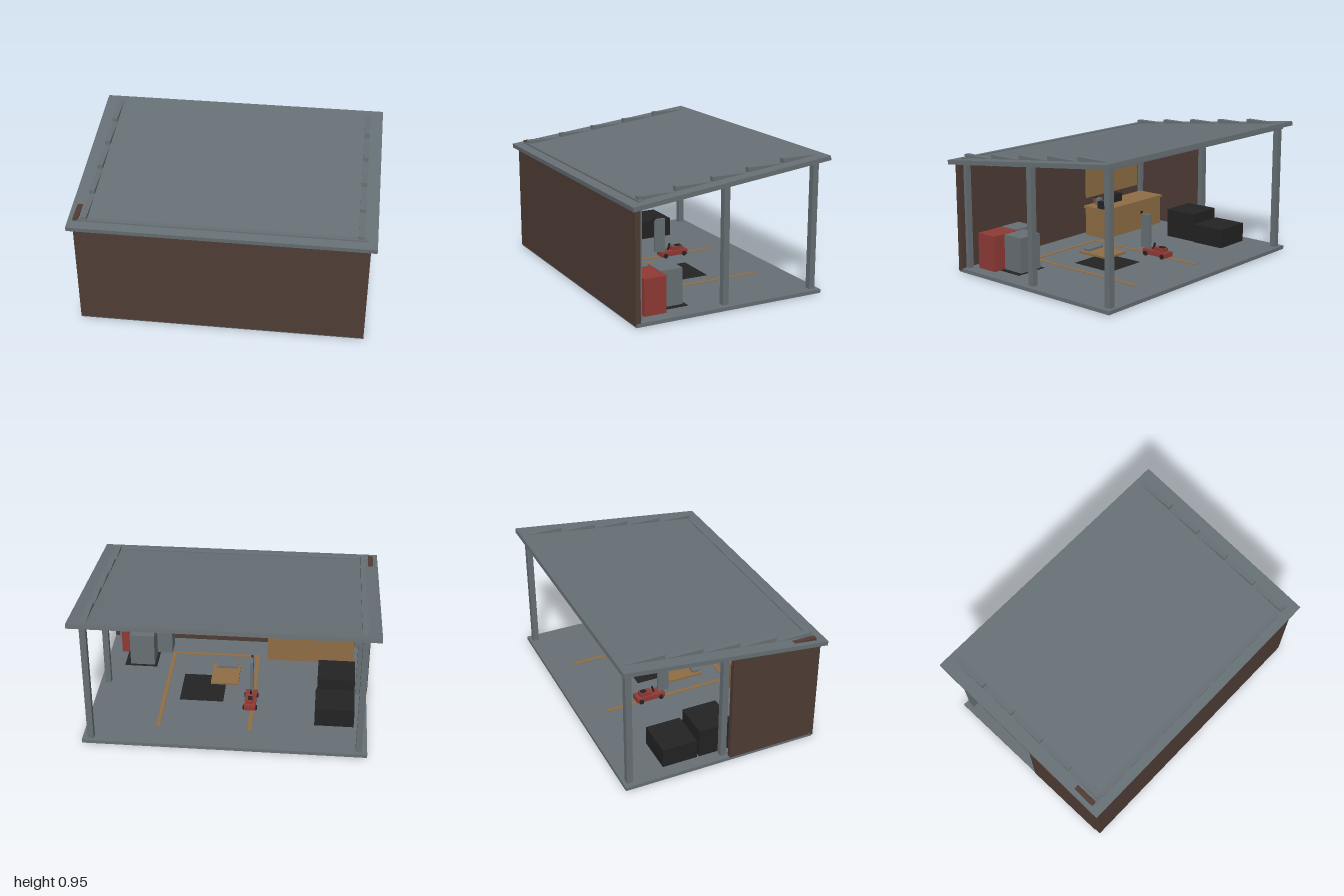
import * as THREE from 'three';

const paint = (name, color) => Object.assign(new THREE.MeshStandardMaterial({ color }), { name });

export function createModel() {
  const grey = paint('steel grey', 0x677075);
  const brown = paint('wall brown', 0x4f3c35);
  const red = paint('workshop red', 0x903a35);
  const tan = paint('timber tan', 0x8f6e45);
  const black = paint('rubber black', 0x232324);
  const model = new THREE.Group();
  model.name = 'openWorkshopShed';

  const group = (name) => {
    const g = new THREE.Group();
    g.name = name;
    model.add(g);
    return g;
  };
  const add = (parent, name, geometry, material) => {
    const mesh = new THREE.Mesh(geometry, material);
    mesh.name = name;
    parent.add(mesh);
    return mesh;
  };
  // Box given by its limits on each axis
  const box = (parent, name, material, [x0, x1], [y0, y1], [z0, z1]) => {
    const m = add(parent, name, new THREE.BoxGeometry(x1 - x0, y1 - y0, z1 - z0), material);
    m.position.set((x0 + x1) / 2, (y0 + y1) / 2, (z0 + z1) / 2);
    return m;
  };

  // Floor and walls
  const shell = group('shell');
  box(shell, 'floorSlab', grey, [-0.96, 0.96], [0.005, 0.03], [-0.695, 0.675]);
  box(shell, 'frontWall', brown, [-0.96, 0.96], [0.015, 0.765], [0.645, 0.68]);
  box(shell, 'sideWall', brown, [-0.967, -0.932], [0.03, 0.812], [0.047, 0.64]);
  box(shell, 'floorDrain', black, [-0.6, -0.53], [0, 0.01], [0.065, 0.08]);

  // Posts and stepped rafters, mirrored on both sides
  const frame = group('frame');
  for (const s of [-1, 1]) {
    for (const [z, w, top] of [[0.63, 0.026, 0.77], [0.018, 0.042, 0.85], [-0.65, 0.042, 0.91]]) {
      box(frame, 'post', grey, [s * 0.903 - 0.021, s * 0.903 + 0.021], [0.03, top], [z - w / 2, z + w / 2]);
    }
    for (let i = 0; i < 5; i++) {
      const z = 0.505 - i * 0.259;
      const y = 0.799 + i * 0.0302;
      box(frame, 'rafterStep', grey, [s * 0.895 - 0.019, s * 0.895 + 0.019], [y - 0.024, y + 0.024], [z - 0.131, z + 0.131]);
    }
  }
  box(frame, 'frontBeam', grey, [-0.94, 0.94], [0.768, 0.803], [0.612, 0.645]);
  box(frame, 'backBeam', grey, [-0.94, 0.94], [0.897, 0.93], [-0.67, -0.63]);

  // Sloping roof
  const roof = add(group('roof'), 'roofSlab', new THREE.BoxGeometry(2, 0.03, 1.43), grey);
  roof.position.y = 0.852;
  roof.rotation.x = 0.114;

  // Ceiling lamp
  const lamp = group('ceilingLamp');
  box(lamp, 'lampHousing', grey, [-0.03, 0.35], [0.815, 0.85], [-0.03, -0.01]);
  box(lamp, 'lampTube', grey, [-0.02, 0.34], [0.805, 0.816], [-0.026, -0.014]);

  // Bay outline and mats on the floor
  const bay = group('workBay');
  for (const x of [-0.16, 0.47]) box(bay, 'bayLine', tan, [x - 0.014, x + 0.014], [0.03, 0.034], [-0.5, 0.45]);
  box(bay, 'bayEndLine', tan, [-0.146, 0.456], [0.03, 0.034], [0.422, 0.45]);
  box(bay, 'floorMat', black, [0.05, 0.36], [0.03, 0.032], [-0.17, 0.155]);
  box(bay, 'cabinetMat', black, [0.58, 0.82], [0.03, 0.032], [0.235, 0.44]);

  // Timber platform with a steel block
  const platform = group('platform');
  box(platform, 'platformBoard', tan, [-0.04, 0.16], [0.03, 0.046], [0.04, 0.3]);
  box(platform, 'platformBlock', grey, [-0.02, 0.13], [0.046, 0.062], [0.235, 0.29]);

  // Wheeled lifting trolley
  const trolley = group('trolley');
  box(trolley, 'trolleyBody', red, [-0.185, -0.105], [0.04, 0.075], [-0.275, -0.065]);
  box(trolley, 'trolleyHood', red, [-0.17, -0.12], [0.075, 0.1], [-0.245, -0.16]);
  box(trolley, 'trolleyCap', black, [-0.16, -0.13], [0.1, 0.107], [-0.235, -0.195]);
  box(trolley, 'mast', grey, [-0.155, -0.135], [0.075, 0.32], [-0.105, -0.025]);
  box(trolley, 'mastTip', black, [-0.153, -0.137], [0.314, 0.335], [-0.028, -0.018]);
  const lever = box(trolley, 'lever', black, [-0.15, -0.14], [0.075, 0.125], [-0.147, -0.135]);
  lever.rotation.x = -0.3;
  for (const x of [-0.187, -0.103]) {
    for (const z of [-0.245, -0.095]) {
      const wheel = add(trolley, 'wheel', new THREE.CylinderGeometry(0.017, 0.017, 0.014, 12), black);
      wheel.rotation.z = Math.PI / 2;
      wheel.position.set(x, 0.047, z);
    }
  }

  // Storage boxes by the open side
  const storage = group('storage');
  box(storage, 'tallCrate', black, [-0.87, -0.61], [0.03, 0.237], [-0.133, 0.113]);
  box(storage, 'lowCrate', black, [-0.87, -0.6], [0.03, 0.167], [-0.395, -0.148]);

  // Cabinets in the corner
  const cabinets = group('cabinets');
  box(cabinets, 'frontCabinet', grey, [0.6, 0.78], [0.03, 0.277], [0.255, 0.412]);
  box(cabinets, 'cornerCabinet', grey, [0.49, 0.65], [0.03, 0.28], [0.43, 0.575]);
  box(cabinets, 'redCabinet', red, [0.655, 0.87], [0.03, 0.278], [0.418, 0.575]);

  // Workbench with tools and a back board
  const bench = group('workbench');
  box(bench, 'benchBody', tan, [-0.87, -0.23], [0.03, 0.24], [0.4, 0.6]);
  box(bench, 'benchTop', tan, [-0.88, -0.22], [0.24, 0.257], [0.39, 0.61]);
  box(bench, 'toolBoard', tan, [-0.87, -0.28], [0.3, 0.6], [0.637, 0.645]);
  box(bench, 'blackCase', black, [-0.27, -0.225], [0.257, 0.31], [0.415, 0.475]);
  box(bench, 'vice', grey, [-0.33, -0.29], [0.257, 0.312], [0.52, 0.552]);
  box(bench, 'redTin', red, [-0.37, -0.325], [0.257, 0.295], [0.575, 0.61]);
  box(bench, 'tinLid', black, [-0.365, -0.33], [0.295, 0.302], [0.58, 0.605]);
  box(bench, 'toolCase', black, [-0.53, -0.43], [0.257, 0.318], [0.5, 0.578]);
  const stand = add(bench, 'toolStand', new THREE.CylinderGeometry(0.006, 0.006, 0.115, 10), grey);
  stand.position.set(-0.4, 0.314, 0.485);

  return model;
}
